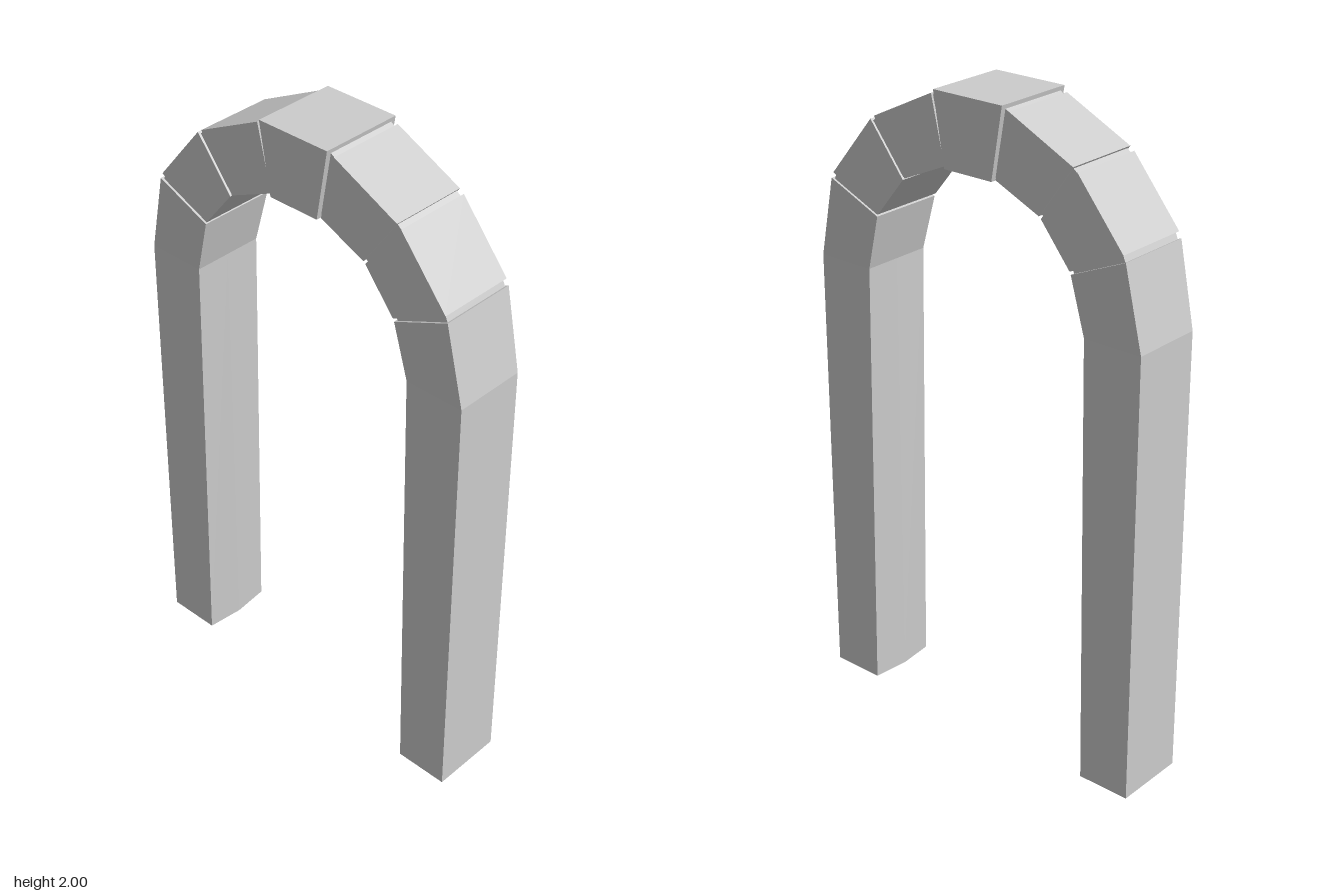
import * as THREE from 'three';

// Cross-section of the arch: half width, outer and inner [z, y], inner bulge at mid width.
function ring(w, [oz, oy], [iz, iy], bulge = 0) {
  return [[w, oy, oz], [-w, oy, oz], [-w, iy, iz], [0, iy, iz - bulge], [w, iy, iz]];
}

// Joins a run of cross-sections and closes both ends.
function loft(rings) {
  const pos = [];
  const tri = (a, b, c) => pos.push(...a, ...b, ...c);
  for (let k = 0; k + 1 < rings.length; k++) {
    const a = rings[k], b = rings[k + 1];
    for (let i = 0; i < a.length; i++) {
      const j = (i + 1) % a.length;
      tri(a[i], a[j], b[j]);
      tri(a[i], b[j], b[i]);
    }
  }
  const first = rings[0], last = rings[rings.length - 1];
  for (let i = 1; i + 1 < first.length; i++) {
    tri(first[0], first[i + 1], first[i]);
    tri(last[0], last[i], last[i + 1]);
  }
  const g = new THREE.BufferGeometry();
  g.setAttribute('position', new THREE.Float32BufferAttribute(pos, 3));
  g.computeVertexNormals();
  return g;
}

// Section pulled in from its outline, for the recessed joints.
function inset(w, o, i, d = 0.007) {
  const dir = new THREE.Vector2(i[0] - o[0], i[1] - o[1]).setLength(d);
  return ring(w - d, [o[0] + dir.x, o[1] + dir.y], [i[0] - dir.x, i[1] - dir.y]);
}

export function createModel() {
  const model = new THREE.Group();
  const material = new THREE.MeshStandardMaterial({ color: 0xcccccc, flatShading: true });
  const add = (parent, name, rings) => {
    const mesh = new THREE.Mesh(loft(rings), material);
    mesh.name = name;
    parent.add(mesh);
  };

  // Wider wedge at the crown
  add(model, 'keystone', [
    ring(0.131, [-0.122, 2], [-0.085, 1.783]),
    ring(0.131, [0.122, 2], [0.085, 1.783]),
  ]);

  // End faces of the stones, from the crown down: [outer, inner]
  const w = 0.122;
  const keyFace = [[0.122, 1.995], [0.085, 1.785]];
  const stones = [
    { name: 'upperArchStone', start: [[0.138, 1.985], [0.092, 1.787]], end: [[0.356, 1.879], [0.243, 1.72]] },
    { name: 'lowerArchStone', start: [[0.37, 1.868], [0.25, 1.714]], end: [[0.526, 1.678], [0.35, 1.59]] },
  ];
  const legTop = [[0.534, 1.66], [0.354, 1.582]];

  for (const side of [0, 1]) {
    const half = new THREE.Group();
    half.name = side ? 'backHalf' : 'frontHalf';
    half.rotation.y = side * Math.PI;

    let previous = keyFace;
    for (const s of stones) {
      add(half, 'joint', [inset(w, ...previous), inset(w, ...s.start)]);
      add(half, s.name, [ring(w, ...s.start), ring(w, ...s.end)]);
      previous = s.end;
    }
    add(half, 'joint', [inset(w, ...previous), inset(w, ...legTop)]);

    // Leg: bent at the shoulder, inner face swelling to a ridge toward the foot
    add(half, 'leg', [
      ring(w, ...legTop),
      ring(0.116, [0.588, 1.41], [0.398, 1.41]),
      ring(0.116, [0.588, 0], [0.418, 0], 0.012),
    ]);
    model.add(half);
  }
  return model;
}
